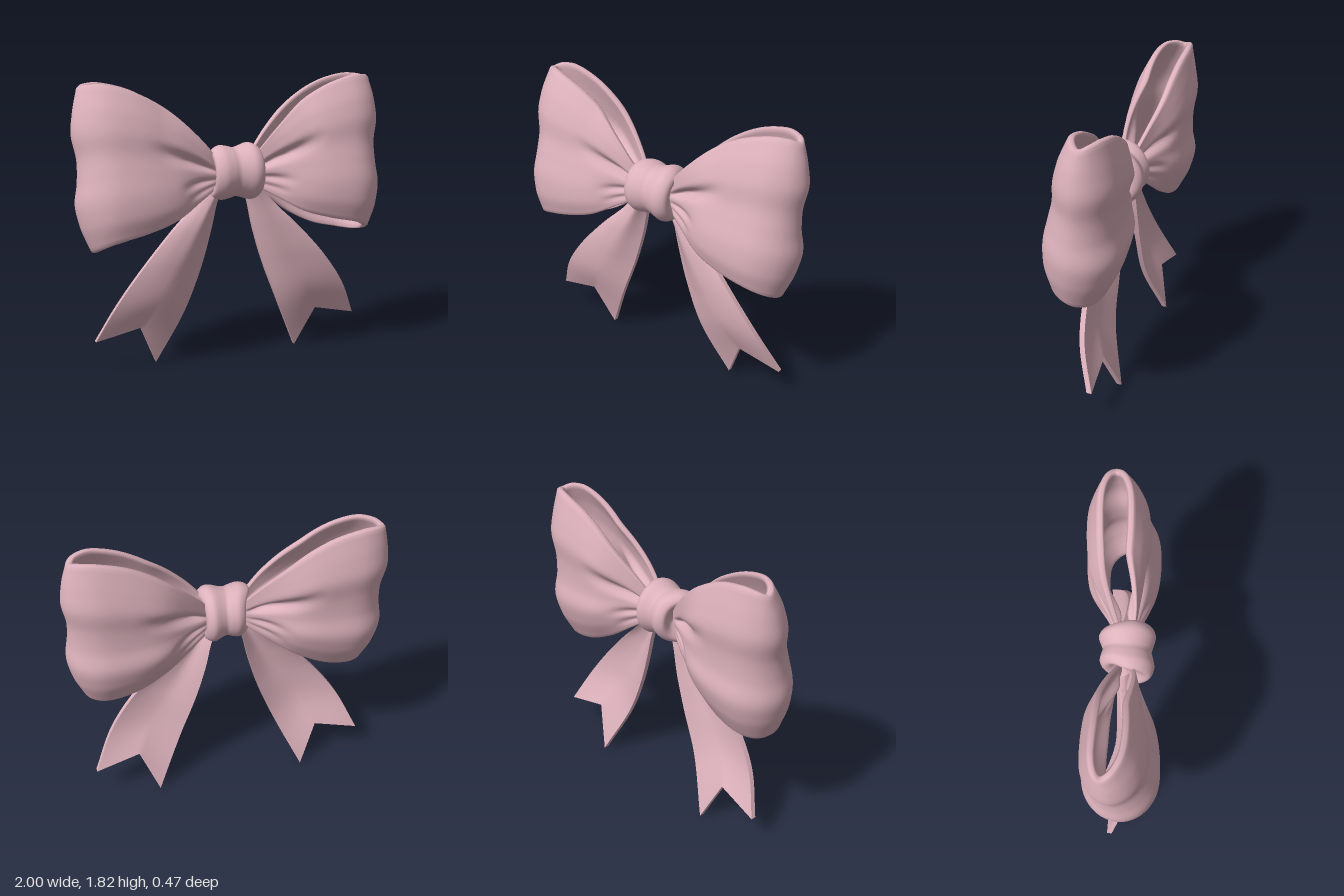
import * as THREE from 'three';
import { toCreasedNormals } from 'three/addons/utils/BufferGeometryUtils.js';

const lerp = THREE.MathUtils.lerp;
const smooth = THREE.MathUtils.smoothstep;
const spline2 = (pts) => new THREE.SplineCurve(pts.map(([a, b]) => new THREE.Vector2(a, b)));
const spline3 = (pts) => new THREE.CatmullRomCurve3(pts.map((p) => new THREE.Vector3(...p)));
const bell = (d, w) => Math.exp(-((d / w) ** 2));

// Skin a list of closed rings of [x, y, z]; side -1 mirrors the result in x
function skin(rings, side = 1) {
  const n = rings[0].length, index = [];
  const position = rings.flat().flatMap(([x, y, z]) => [x * side, y, z]);
  for (let i = 0; i < rings.length - 1; i++) {
    for (let j = 0; j < n; j++) {
      const a = i * n + j, b = i * n + (j + 1) % n, c = a + n, d = b + n;
      if (side > 0) index.push(a, c, d, a, d, b);
      else index.push(a, d, c, a, b, d);
    }
  }
  const geo = new THREE.BufferGeometry();
  geo.setAttribute('position', new THREE.Float32BufferAttribute(position, 3));
  geo.setIndex(index);
  geo.computeVertexNormals();
  return geo;
}

// Loop stations, from the knot along the front, round the fold and back: x, relative depth, bottom y, top y
const stations = [
  [0.09, 0.2, 1.18, 1.31], [0.24, 0.5, 1.1, 1.485], [0.42, 0.85, 1.005, 1.645], [0.62, 1, 0.95, 1.755],
  [0.82, 0.95, 0.91, 1.81], [0.95, 0.58, 0.865, 1.81], [1, 0, 0.825, 1.79],
  [0.95, -0.58, 0.805, 1.805], [0.82, -0.95, 0.815, 1.805], [0.62, -1, 0.855, 1.755],
  [0.42, -0.87, 0.945, 1.645], [0.24, -0.52, 1.07, 1.485], [0.09, -0.2, 1.18, 1.31],
];
const plan = spline2(stations.map((s) => [s[0], s[1] * 0.2]));
const edges = spline2(stations.map((s) => [s[2], s[3]]));
// From the bottom edge of the loop to the top edge: reach, front z, back z
const swell = spline3([
  [0.92, 0.21, -0.13], [0.975, 0.237, -0.2], [1, 0.23, -0.232], [0.982, 0.2, -0.21],
  [0.977, 0.168, -0.21], [1, 0.155, -0.225], [0.985, 0.12, -0.2], [0.95, 0.06, -0.16],
]);
// Creases radiating from the knot: height at knot, height at far end, width, depth, reach
const creases = [[0.53, 0.64, 0.065, 0.05, 0.62], [0.3, 0.27, 0.05, 0.02, 0.4], [0.14, 0.12, 0.04, 0.012, 0.36]];

// sway leans the top of the fold backwards
function loopPoint(u, v, t, sway) {
  const p = plan.getPoint(u), tan = plan.getTangent(u), e = edges.getPoint(u);
  const vc = THREE.MathUtils.clamp(v, 0, 1), s = swell.getPoint(vc);
  const away = smooth(p.x, 0.08, 0.5);
  let inset = t * lerp(0.022, 0.042, away);
  for (const [v0, v1, w, depth, reach] of creases) {
    const fade = smooth(p.x, 0.1, 0.22) * (1 - smooth(p.x, 0.25, reach));
    inset += depth * fade * bell(v - lerp(v0, v1, p.x / 0.6), w);
  }
  const x = p.x * lerp(1, s.x, p.x * p.x);
  const centre = lerp(0.02, (s.y + s.z) / 2, away) - sway * vc ** 3 * p.x ** 4;
  const z = centre + p.y * lerp(1, (s.y - s.z) / 0.4, away);
  return [x + tan.y * inset, lerp(e.x, e.y, v), z - tan.x * inset];
}

function loopGeometry(side, sway) {
  // Section of the band: up the outside, over a rounded rim, down the inside
  const section = [], V = 40, U = 96;
  for (let j = 0; j <= V; j++) section.push([j / V, 0]);
  section.push([1.01, 0.25], [1.01, 0.75]);
  for (let j = V; j >= 0; j--) section.push([j / V, 1]);
  section.push([-0.01, 0.75], [-0.01, 0.25]);
  const rings = [];
  for (let i = 0; i <= U; i++) rings.push(section.map(([v, t]) => loopPoint(i / U, v, t, sway)));
  return skin(rings, side);
}

// Tail edges, from the knot to the two tips
const innerEdge = spline3([[0.05, 1.2, 0], [0.1, 1.06, -0.01], [0.14, 0.88, -0.015], [0.21, 0.64, -0.015], [0.32, 0.36, -0.025], [0.485, 0.005, -0.12]]);
const outerEdge = spline3([[0.14, 1.22, 0], [0.26, 1.05, 0.01], [0.43, 0.88, 0.035], [0.615, 0.67, 0.045], [0.765, 0.455, 0.015], [0.888, 0.205, -0.07]]);

function tailGeometry(side) {
  const S = 40, N = 20, mid = 0.45, rings = [];
  const ring = (s, half) => {
    const a = innerEdge.getPoint(s), b = outerEdge.getPoint(s), front = [], back = [];
    for (let j = 0; j <= N; j++) {
      const v = j / N;
      const p = a.clone().lerp(b, v);
      // Swallowtail notch at the end
      const notch = (v < mid ? v / mid : (1 - v) / (1 - mid)) * s ** 4;
      p.x -= 0.065 * notch;
      p.y += 0.18 * notch;
      // Arched across, with a soft ridge along the inner side near the knot
      p.z += 0.04 * Math.sin(Math.PI * v) * (1 - s ** 3) + 0.05 * notch;
      p.z += 0.015 * bell(v - 0.35, 0.18) * (1 - smooth(s, 0.3, 0.8));
      front.push([p.x, p.y, p.z + half]);
      back.unshift([p.x, p.y, p.z - half]);
    }
    return [...front, ...back];
  };
  for (let i = 0; i <= S; i++) rings.push(ring(i / S, 0.016));
  rings.push(ring(1, 0)); // closes the end
  return toCreasedNormals(skin(rings, side), 0.8);
}

// Knot: a wrapped band with soft pleats, wider at the front
function knotGeometry() {
  const profile = spline2([
    [-0.11, 0], [-0.13, 0.07], [-0.155, 0.115], [-0.15, 0.148], [-0.1, 0.17], [-0.045, 0.163], [-0.005, 0.153],
    [0.03, 0.16], [0.1, 0.179], [0.15, 0.156], [0.162, 0.115], [0.135, 0.07], [0.11, 0],
  ]).getPoints(60);
  const N = 48;
  return skin(profile.map(({ x, y: r }) => Array.from({ length: N }, (_, j) => {
    const a = (j / N) * Math.PI * 2, c = Math.cos(a);
    const width = lerp(0.76, 1, smooth(c, -1, 0.3));
    return [x * width + 0.02 * (1 - smooth(c, -1, 0)), 1.25 + r * Math.sin(a), 0.03 + r * c * 0.97];
  })));
}

export function createModel() {
  const ribbon = new THREE.MeshStandardMaterial({ color: 0xddb2bc });
  ribbon.name = 'pinkRibbon';
  const model = new THREE.Group();
  model.name = 'ribbonBow';
  const add = (name, geo) => {
    const mesh = new THREE.Mesh(geo, ribbon);
    mesh.name = name;
    model.add(mesh);
  };
  for (const [name, side, sway] of [['left', 1, 0], ['right', -1, 0.05]]) {
    add(name + 'Loop', loopGeometry(side, sway));
    add(name + 'Tail', tailGeometry(side));
  }
  add('knot', knotGeometry());
  return model;
}
